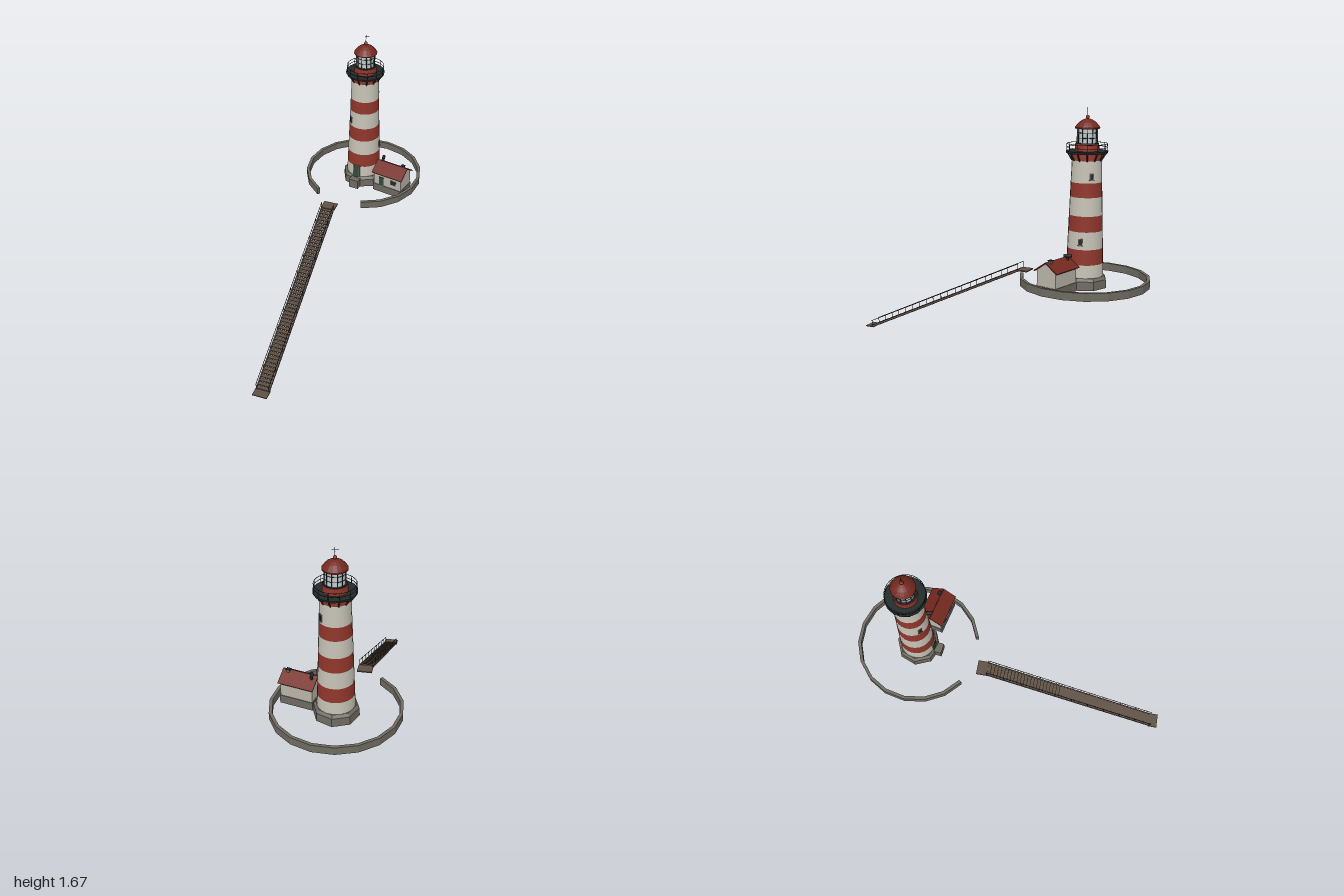
import * as THREE from 'three';

const paint = (color, flat = false) => new THREE.MeshStandardMaterial({ color, flatShading: flat, side: THREE.DoubleSide });
const red = paint(0x8f362b), white = paint(0xc6c2b6), stone = paint(0x6e6a61, true), wood = paint(0x5f5145);
const dark = paint(0x222b2a), roofRed = paint(0x74291f, true), wall = paint(0xb9b4a8, true), green = paint(0x2f4a3c), glass = paint(0xc3cccd);

function add(parent, name, geo, mat, x = 0, y = 0, z = 0) {
  const m = new THREE.Mesh(geo, mat);
  m.name = name;
  m.position.set(x, y, z);
  parent.add(m);
  return m;
}
const box = (w, h, d) => new THREE.BoxGeometry(w, h, d);
const drum = (top, bottom, h, n = 24, open = false) => new THREE.CylinderGeometry(top, bottom, h, n, 1, open);

// Thin round bar between two points
function bar(parent, name, a, b, r, mat) {
  const m = add(parent, name, drum(r, r, a.distanceTo(b), 5), mat);
  m.position.copy(a).lerp(b, 0.5);
  m.quaternion.setFromUnitVectors(new THREE.Vector3(0, 1, 0), b.clone().sub(a).normalize());
  return m;
}
const V = (x, y, z) => new THREE.Vector3(x, y, z);

// Group turned so that its local z points outward at an angle
function facing(parent, name, angle, y, radius) {
  const g = new THREE.Group();
  g.name = name;
  g.position.set(Math.sin(angle) * radius, y, Math.cos(angle) * radius);
  g.rotation.y = angle;
  parent.add(g);
  return g;
}

const towerRadius = y => 0.118 - (y - 0.615) * 0.0355;

function buildTower() {
  const t = new THREE.Group();
  t.name = 'tower';
  // Octagonal plinth with a chamfered top
  add(t, 'plinth', drum(0.143, 0.146, 0.055, 8).rotateY(Math.PI / 8), stone, 0, 0.5725);
  add(t, 'plinthTop', drum(0.126, 0.143, 0.018, 8).rotateY(Math.PI / 8), stone, 0, 0.609);
  // Striped shaft
  const levels = [0.61, 0.70, 0.797, 0.907, 1.005, 1.12, 1.21, 1.345, 1.395];
  for (let i = 0; i < levels.length - 1; i++) {
    const [a, b] = [levels[i], levels[i + 1]];
    add(t, i % 2 ? 'redBand' : 'whiteBand', drum(towerRadius(b), towerRadius(a), b - a, 24, true), i % 2 ? red : white, 0, (a + b) / 2);
  }
  // Doorway with step
  const door = facing(t, 'doorway', -0.53, 0, 0.112);
  add(door, 'doorFrame', box(0.05, 0.1, 0.016), stone, 0, 0.655, 0.002);
  add(door, 'door', box(0.036, 0.088, 0.02), green, 0, 0.652, 0.002);
  add(door, 'doorStep', box(0.07, 0.065, 0.05), stone, 0, 0.578, 0.035);
  // Shaft windows
  for (const [a, y] of [[Math.PI / 2 - 0.31, 0.845], [0.35 - Math.PI / 2, 1.05], [Math.PI / 2 + 0.3, 1.25]]) {
    const w = facing(t, 'shaftWindow', a, y, towerRadius(y) - 0.003);
    add(w, 'windowFrame', box(0.027, 0.042, 0.012), stone);
    add(w, 'windowPane', box(0.018, 0.032, 0.015), dark);
    add(w, 'windowSill', box(0.032, 0.005, 0.02), stone, 0, -0.021);
  }
  // Gallery deck, brackets and railing
  add(t, 'galleryDeck', drum(0.131, 0.127, 0.014, 16), dark, 0, 1.394);
  for (let i = 0; i < 12; i++) {
    const a = (i / 12) * Math.PI * 2, s = Math.sin(a), c = Math.cos(a);
    bar(t, 'bracket', V(s * 0.09, 1.342, c * 0.09), V(s * 0.118, 1.388, c * 0.118), 0.005, dark);
    bar(t, 'galleryPost', V(s * 0.124, 1.4, c * 0.124), V(s * 0.124, 1.445, c * 0.124), 0.0018, dark);
  }
  for (const y of [1.422, 1.445])
    add(t, 'galleryRail', new THREE.TorusGeometry(0.124, 0.0019, 5, 32).rotateX(Math.PI / 2), dark, 0, y);
  // Lantern room
  add(t, 'lanternBase', drum(0.073, 0.076, 0.045), red, 0, 1.4225);
  add(t, 'lanternSill', drum(0.07, 0.07, 0.006), dark, 0, 1.447);
  add(t, 'lanternGlass', drum(0.061, 0.061, 0.094, 12), glass, 0, 1.495);
  for (let i = 0; i < 12; i++) {
    const a = (i / 12) * Math.PI * 2, s = Math.sin(a) * 0.062, c = Math.cos(a) * 0.062;
    bar(t, 'glazingBar', V(s, 1.447, c), V(s, 1.54, c), 0.0028, dark);
  }
  for (const y of [1.48, 1.512])
    add(t, 'glazingRing', new THREE.TorusGeometry(0.0615, 0.0022, 5, 12).rotateX(Math.PI / 2), dark, 0, y);
  // Dome with ball and vane
  const profile = [[0.06, 1.535], [0.077, 1.537], [0.077, 1.545], [0.066, 1.56], [0.05, 1.577], [0.03, 1.59], [0.012, 1.597], [0, 1.599]];
  add(t, 'dome', new THREE.LatheGeometry(profile.map(p => new THREE.Vector2(...p)), 16), roofRed);
  add(t, 'domeBall', new THREE.SphereGeometry(0.012, 12, 8), red, 0, 1.607);
  bar(t, 'spire', V(0, 1.61, 0), V(0, 1.668, 0), 0.0016, dark);
  bar(t, 'vaneArm', V(-0.022, 1.653, 0), V(0.022, 1.653, 0), 0.0014, dark);
  bar(t, 'vaneArm', V(0, 1.645, -0.012), V(0, 1.645, 0.012), 0.0012, dark);
  return t;
}

// Low ring wall, open toward the stairs
function buildRingWall() {
  const start = THREE.MathUtils.degToRad(98), sweep = THREE.MathUtils.degToRad(311), n = 16;
  const arc = r => Array.from({ length: n + 1 }, (_, i) => {
    const a = start - (sweep * i) / n;
    return new THREE.Vector2(r * Math.cos(a), -r * Math.sin(a));
  });
  const shape = new THREE.Shape([...arc(0.413), ...arc(0.392).reverse()]);
  const geo = new THREE.ExtrudeGeometry(shape, { depth: 0.05, bevelEnabled: false }).rotateX(-Math.PI / 2);
  const m = new THREE.Mesh(geo, stone);
  m.name = 'ringWall';
  m.position.y = 0.555;
  return m;
}

function buildHouse() {
  const h = new THREE.Group();
  h.name = 'keeperHouse';
  const L = 0.214, W = 0.14, eave = 0.7, ridge = 0.748;
  add(h, 'foundation', box(L + 0.008, 0.056, W + 0.008), stone, 0, 0.572);
  // Gabled walls
  const gable = new THREE.Shape([[-W / 2, 0.59], [W / 2, 0.59], [W / 2, eave], [0, ridge], [-W / 2, eave]].map(p => new THREE.Vector2(...p)));
  add(h, 'walls', new THREE.ExtrudeGeometry(gable, { depth: L, bevelEnabled: false }).translate(0, 0, -L / 2).rotateY(Math.PI / 2), wall);
  // Roof slopes
  const pitch = Math.atan2(ridge - eave, W / 2), run = 0.085 / Math.cos(pitch);
  for (const s of [-1, 1]) {
    const slope = add(h, 'roofSlope', box(L + 0.022, 0.007, run), roofRed, 0, ridge + 0.004 - Math.tan(pitch) * 0.0425, s * 0.0425);
    slope.rotation.x = s * pitch;
  }
  // Front door and windows
  add(h, 'houseDoor', box(0.036, 0.068, 0.006), green, -0.046, 0.633, W / 2);
  for (const s of [-1, 1]) {
    if (s > 0) add(h, 'houseWindowFrame', box(0.044, 0.036, 0.005), stone, 0.047, 0.648, s * W / 2);
    if (s > 0) add(h, 'houseWindow', box(0.034, 0.027, 0.009), dark, 0.047, 0.648, s * W / 2);
  }
  // Stove pipe and chimney on the roof
  add(h, 'stovePipe', drum(0.008, 0.008, 0.03, 8), dark, -0.085, 0.752, -0.022);
  const cowl = add(h, 'pipeCowl', drum(0.0105, 0.0105, 0.05, 8).rotateX(Math.PI / 2), dark, -0.085, 0.765, -0.022);
  cowl.rotation.y = 0.35;
  add(h, 'chimney', box(0.022, 0.03, 0.018), stone, 0.078, 0.749, -0.01);
  add(h, 'chimneyCap', box(0.027, 0.005, 0.023), dark, 0.078, 0.763, -0.01);
  h.position.set(0.386, 0, -0.413);
  h.rotation.y = -0.62;
  return h;
}

function buildStairs() {
  const st = new THREE.Group();
  st.name = 'stairs';
  const total = 1.318, s0 = 0.07, s1 = 1.265, y0 = 0.57, y1 = 0.006, steps = 52;
  const height = s => y0 + ((y1 - y0) * (s - s0)) / (s1 - s0);
  // Landings
  add(st, 'topLanding', box(0.098, 0.008, 0.075), wood, 0, 0.571, 0.036);
  add(st, 'bottomLanding', box(0.098, 0.006, 0.065), wood, 0, 0.003, total - 0.0325);
  // Treads
  const pitch = (s1 - s0) / steps;
  for (let i = 0; i < steps; i++) {
    const s = s0 + (i + 0.5) * pitch;
    add(st, 'tread', box(0.088, 0.007, pitch * 1.08), wood, 0, height(s), s);
  }
  const slope = Math.atan2(y0 - y1, s1 - s0);
  for (const x of [-0.043, 0.043]) {
    // Stringer
    const beam = add(st, 'stringer', box(0.006, 0.013, Math.hypot(s1 - s0, y0 - y1) - 0.01), wood, x, (y0 + y1) / 2 + 0.001, (s0 + s1) / 2);
    beam.rotation.x = slope;
    // Handrail and posts
    bar(st, 'handrail', V(x, height(s0) + 0.045, s0), V(x, height(s1) + 0.042, s1 + 0.005), 0.0022, dark);
    for (let i = 0; i <= 10; i++) {
      const s = s0 + ((s1 - s0) * i) / 10;
      bar(st, 'railPost', V(x, height(s), s), V(x, height(s) + 0.045, s), 0.002, dark);
    }
  }
  st.position.set(-0.058, 0, -0.233);
  st.rotation.y = Math.atan2(-0.518, 1.213);
  return st;
}

export function createModel() {
  const model = new THREE.Group();
  model.name = 'lighthouse';
  for (const part of [buildTower(), buildRingWall()]) {
    part.position.x = 0.2;
    part.position.z = -0.588;
    model.add(part);
  }
  model.add(buildHouse(), buildStairs());
  return model;
}
